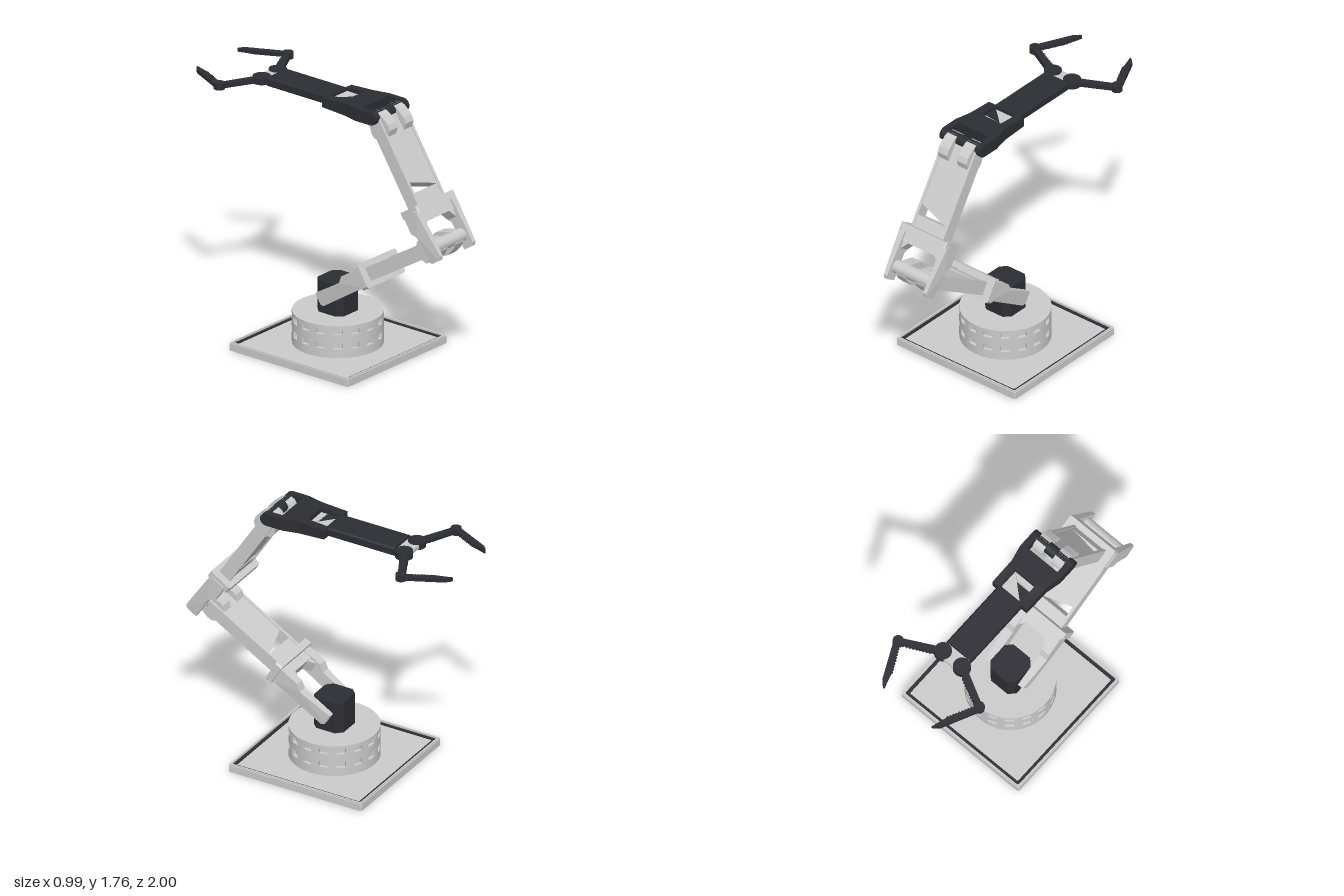
import * as THREE from 'three';

const grey = new THREE.MeshStandardMaterial({ color: 0xcccccc, flatShading: true, side: THREE.DoubleSide });
const smooth = new THREE.MeshStandardMaterial({ color: 0xcccccc });
const black = new THREE.MeshStandardMaterial({ color: 0x2d2e34, flatShading: true, side: THREE.DoubleSide });
const ARM_Y = 1.722;

function add(parent, name, geometry, material, x = 0, y = 0, z = 0) {
  const mesh = new THREE.Mesh(geometry, material);
  mesh.name = name;
  mesh.position.set(x, y, z);
  parent.add(mesh);
  return mesh;
}

function shapeOf(points, hole) {
  const toV = (p) => new THREE.Vector2(p[0], p[1]);
  const shape = new THREE.Shape(points.map(toV));
  if (hole) shape.holes.push(new THREE.Path(hole.map(toV)));
  return shape;
}

const extrude = (shape, depth) =>
  new THREE.ExtrudeGeometry(shape, { depth, bevelEnabled: false, curveSegments: 6 });

// Side profile given as [z, y], swept across x
const side = (points, x0, x1) =>
  extrude(shapeOf(points), x1 - x0).rotateY(-Math.PI / 2).translate(x1, 0, 0);

// Plan outline given as [x, z], raised in y
function plan(points, y0, y1, hole) {
  const flip = (list) => list && list.map(([x, z]) => [x, -z]);
  return extrude(shapeOf(flip(points), flip(hole)), y1 - y0).rotateX(-Math.PI / 2).translate(0, y0, 0);
}

// Rectangle with cut corners
const cutRect = (w, h, c) => [
  [-w + c, -h], [w - c, -h], [w, -h + c], [w, h - c], [w - c, h], [-w + c, h], [-w, h - c], [-w, -h + c],
];

// Cylinder lying along x
const rod = (r, length, n = 20) => new THREE.CylinderGeometry(r, r, length, n).rotateZ(Math.PI / 2);

function buildBase(root) {
  const base = new THREE.Group();
  base.name = 'base';
  root.add(base);
  const rect = (s) => cutRect(s, s, 0.008);
  add(base, 'basePlate', plan(rect(0.495), 0, 0.038), grey);
  add(base, 'baseRim', plan(rect(0.495), 0.038, 0.049, rect(0.478)), grey);
  add(base, 'baseRimTop', plan(rect(0.488), 0.049, 0.056, rect(0.478)), grey);
  add(base, 'baseGroove', plan(rect(0.478), 0.038, 0.044, rect(0.456)), black);

  // Turntable: core drum, solid bands and posts that leave two rows of windows
  add(base, 'turntableCore', new THREE.CylinderGeometry(0.272, 0.272, 0.21, 48).translate(0, 0.145, 0), smooth);
  for (const [y0, y1] of [[0.038, 0.098], [0.14, 0.196], [0.233, 0.257]]) {
    add(base, 'turntableBand', new THREE.CylinderGeometry(0.295, 0.295, y1 - y0, 48).translate(0, (y0 + y1) / 2, 0), smooth);
  }
  const post = new THREE.Shape();
  post.absarc(0, 0, 0.295, -0.092, 0.092, false);
  post.absarc(0, 0, 0.265, 0.092, -0.092, true);
  const postGeometry = extrude(post, 0.044).rotateX(-Math.PI / 2);
  for (let i = 0; i < 16; i++) {
    for (const y of [0.097, 0.193]) {
      add(base, 'turntablePost', postGeometry, grey, 0, y, 0).rotation.y = (i * Math.PI) / 8 + 0.1;
    }
  }
  add(base, 'shoulderPillar', plan(cutRect(0.11, 0.11, 0.04), 0.25, 0.475), black);
  add(base, 'shoulderPin', rod(0.035, 0.3), smooth, 0, 0.39, 0.03);
}

// Arm segment: local y runs along the arm, origin at the collar
function buildSegment(name, y, z, tilt, forkLength, inner, outer) {
  const arm = new THREE.Group();
  arm.name = name;
  arm.position.set(0, y, z);
  arm.rotation.x = tilt;
  const L = forkLength;

  // Fork cheeks with a raised shoulder at the back
  const cheek = [
    [-0.02, -L], [0.06, -L], [0.078, -L + 0.02], [0.066, -0.02], [0.05, 0],
    [-0.05, 0], [-0.055, -0.03], [-0.055, -L * 0.36], [-0.02, -L * 0.46],
  ];
  for (const s of [-1, 1]) {
    const g = side(cheek, s > 0 ? inner : -outer, s > 0 ? outer : -inner);
    const p = g.attributes.position;
    // Chamfer the outer face towards the tip
    for (let i = 0; i < p.count; i++) {
      if (Math.abs(p.getX(i)) > outer - 0.001 && p.getY(i) < -L + 0.05) p.setX(i, s * (outer - 0.02));
    }
    g.computeVertexNormals();
    add(arm, 'forkCheek', g, grey);
  }
  add(arm, 'forkBridge', new THREE.BoxGeometry(2 * inner + 0.02, 0.09, 0.1), grey, 0, -0.045, 0);
  for (const s of [-1, 1]) {
    add(arm, 'forkGusset', extrude(shapeOf([[s * inner, -0.14], [s * inner, -0.08], [s * (inner - 0.05), -0.08]]), 0.08), grey, 0, 0, -0.04);
  }
  add(arm, 'collar', extrude(shapeOf(cutRect(0.19, 0.083, 0.012)), 0.05).rotateX(-Math.PI / 2), grey, 0, -0.025, 0);

  // Beam: recessed web with a triangular opening, between two rails
  const web = [[-0.12, 0], [0.12, 0], [0.12, 0.63], [-0.12, 0.63]];
  const opening = [[-0.115, 0.105], [-0.115, 0.18], [0.115, 0.105]];
  add(arm, 'beamWeb', extrude(shapeOf(web, opening), 0.08), grey, 0, 0, -0.04);
  for (const s of [-1, 1]) {
    add(arm, 'beamRail', new THREE.BoxGeometry(0.02, 0.62, 0.092), grey, s * 0.125, 0.315, 0);
    // Knuckles that wrap the pin on both faces
    const knuckle = [
      [-0.045, 0.5], [0.045, 0.5], [0.078, 0.53], [0.084, 0.57], [0.066, 0.64], [0.042, 0.677],
      [0.015, 0.69], [-0.015, 0.69], [-0.042, 0.677], [-0.058, 0.64], [-0.08, 0.56], [-0.075, 0.53],
    ];
    add(arm, 'knuckle', side(knuckle, s * 0.08 - 0.04, s * 0.08 + 0.04), grey);
  }
  return arm;
}

function buildForearm(root) {
  const wrist = new THREE.Group();
  wrist.name = 'forearm';
  wrist.position.y = ARM_Y;
  root.add(wrist);

  // Yoke with a window; it thins towards the forearm
  const half = [[0.145, -0.01], [0.145, 0.18], [0.17, 0.29], [0.17, 0.41], [0.127, 0.41], [0.127, 0.31]];
  const outline = [...half, ...half.map(([x, z]) => [-x, z]).reverse()];
  const windowHole = [[-0.08, 0], [0.085, 0], [0.085, 0.145], [-0.08, 0.145]];
  const yoke = plan(outline, -0.043, 0.043, windowHole);
  const p = yoke.attributes.position;
  for (let i = 0; i < p.count; i++) if (p.getZ(i) < 0.05) p.setY(i, p.getY(i) * 0.75);
  yoke.computeVertexNormals();
  add(wrist, 'yoke', yoke, black);
  for (const s of [-1, 1]) add(wrist, 'yokeEnd', rod(0.043, 0.043), black, s * 0.1485, 0, 0.41);
  add(wrist, 'wristPin', rod(0.04, 0.28), black, 0, 0, 0.41);
  // Sloping fillers inside the window
  add(wrist, 'windowPanel', plan([[-0.08, 0], [0.085, 0], [0.085, 0.145]], -0.012, 0.012), grey);
  add(wrist, 'windowWeb', plan([[-0.08, 0], [0.03, 0.097], [-0.08, 0.097]], -0.014, 0.014), black);
  add(wrist, 'windowLedge', plan([[-0.08, 0.1], [0.04, 0.11], [0.085, 0.145], [-0.08, 0.145]], -0.012, 0.012), grey);

  add(wrist, 'forearmBeam', extrude(shapeOf(cutRect(0.102, 0.031, 0.01)), 0.51), black, 0, 0, -0.505);
  add(wrist, 'gripperBracket', plan([
    [-0.09, -0.49], [0.09, -0.49], [0.1, -0.56], [0.08, -0.615], [0.03, -0.605], [-0.03, -0.605], [-0.08, -0.615], [-0.1, -0.56],
  ], -0.014, 0.014), grey);

  for (const s of [-1, 1]) {
    const finger = new THREE.Group();
    finger.name = s > 0 ? 'leftFinger' : 'rightFinger';
    finger.scale.x = s;
    wrist.add(finger);
    add(finger, 'fingerHub', new THREE.CylinderGeometry(0.058, 0.058, 0.046, 24), black, 0.08, 0, -0.566);
    add(finger, 'fingerHubCap', new THREE.CylinderGeometry(0.04, 0.04, 0.056, 24), black, 0.08, 0, -0.566);
    add(finger, 'fingerJoint', new THREE.CylinderGeometry(0.036, 0.036, 0.044, 16), black, 0.342, 0, -0.7);
    add(finger, 'fingerLink', plan([[0.1, -0.548], [0.335, -0.672], [0.33, -0.715], [0.1, -0.602]], -0.016, 0.016), black);
    add(finger, 'fingerTip', plan([
      [0.374, -0.7], [0.32, -0.715], [0.235, -0.885], [0.222, -0.93], [0.2, -1], [0.214, -0.997], [0.247, -0.965],
    ], -0.013, 0.013), black);
    // Teeth along the gripping edges
    const teeth = (x0, z0, x1, z1, n) => {
      for (let i = 0; i < n; i++) {
        const t = (i + 0.5) / n;
        const tooth = add(finger, 'tooth', new THREE.BoxGeometry(0.014, 0.022, 0.014), black,
          x0 + (x1 - x0) * t, 0, z0 + (z1 - z0) * t);
        tooth.rotation.y = Math.atan2(z0 - z1, x1 - x0) + Math.PI / 4;
      }
    };
    teeth(0.13, -0.618, 0.31, -0.705, 9);
    teeth(0.315, -0.73, 0.232, -0.895, 9);
  }
}

export function createModel() {
  const root = new THREE.Group();
  root.name = 'roboticArm';
  buildBase(root);
  root.add(buildSegment('lowerArm', 0.618, 0.342, 1.03, 0.455, 0.113, 0.175));
  root.add(buildSegment('upperArm', 1.168, 0.75, -0.57, 0.355, 0.15, 0.197));
  add(root, 'elbowPin', rod(0.045, 0.31), smooth, 0, 0.955, 0.9);
  buildForearm(root);
  return root;
}
